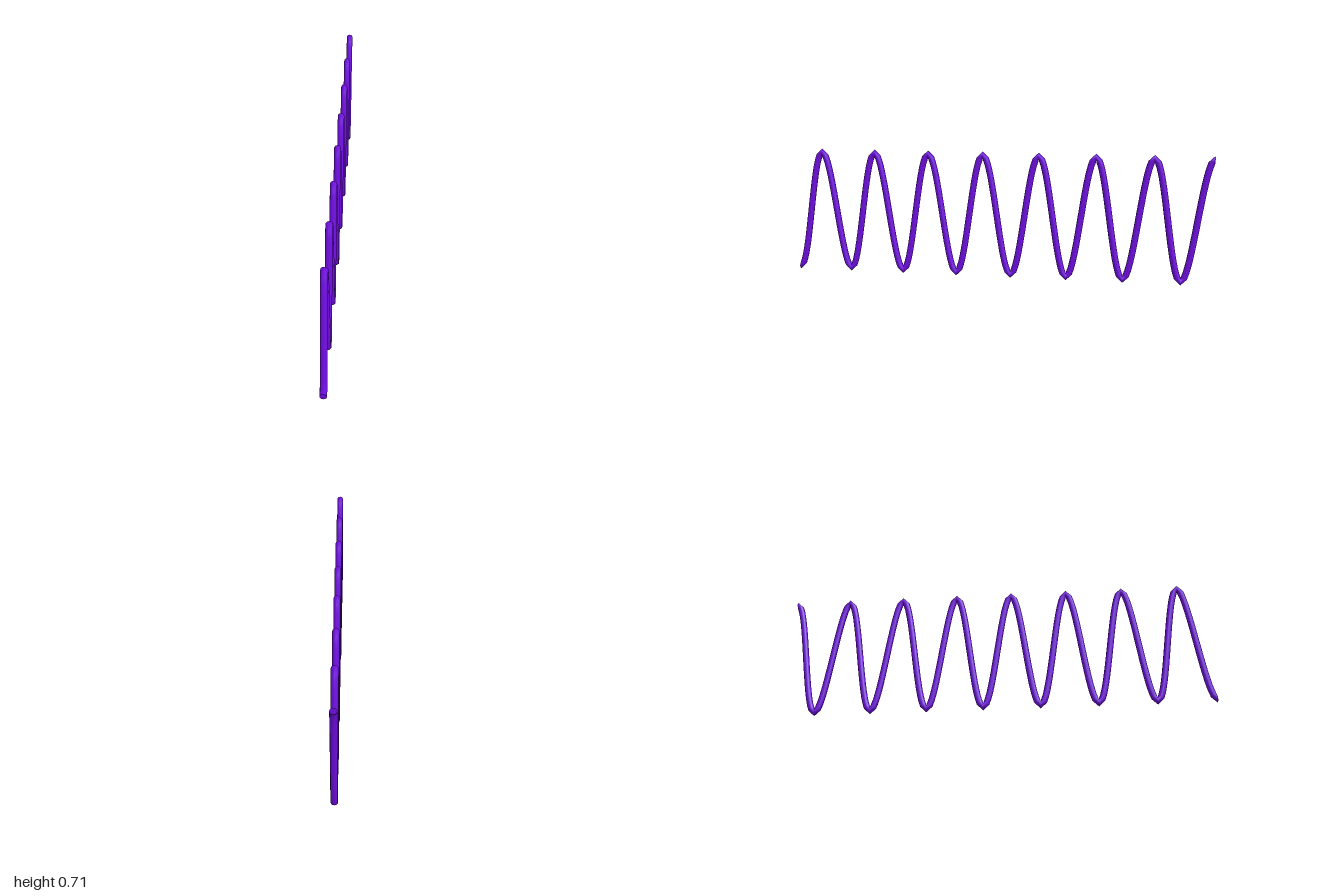
import * as THREE from 'three';

const RADIUS = 0.018;
const HALF_TURNS = 15;
const START = new THREE.Vector2(-0.63, -0.99); // x, z of the first end
const LOW = RADIUS, HIGH = 0.692;

// Cosine wave standing upright over a diagonal line on the ground
class WaveCurve extends THREE.Curve {
  getPoint(t, target = new THREE.Vector3()) {
    const y = (HIGH + LOW) / 2 + (HIGH - LOW) / 2 * Math.cos(t * HALF_TURNS * Math.PI);
    const s = 1 - 2 * t;
    return target.set(START.x * s, y, START.y * s);
  }
}

export function createModel() {
  const group = new THREE.Group();
  group.name = 'waveSpring';
  const material = new THREE.MeshStandardMaterial({ color: 0x6f0de0 });

  // Round wire following the wave
  const curve = new WaveCurve();
  curve.arcLengthDivisions = 1500;
  const wire = new THREE.Mesh(new THREE.TubeGeometry(curve, 360, RADIUS, 12, false), material);
  wire.name = 'wire';
  group.add(wire);

  // Flat caps closing both ends
  const along = new THREE.Vector3(START.x, 0, START.y).normalize();
  for (const [name, side] of [['startCap', 1], ['endCap', -1]]) {
    const cap = new THREE.Mesh(new THREE.CircleGeometry(RADIUS, 12), material);
    cap.name = name;
    cap.position.copy(curve.getPoint(side > 0 ? 0 : 1));
    cap.lookAt(cap.position.clone().addScaledVector(along, side));
    group.add(cap);
  }
  return group;
}
